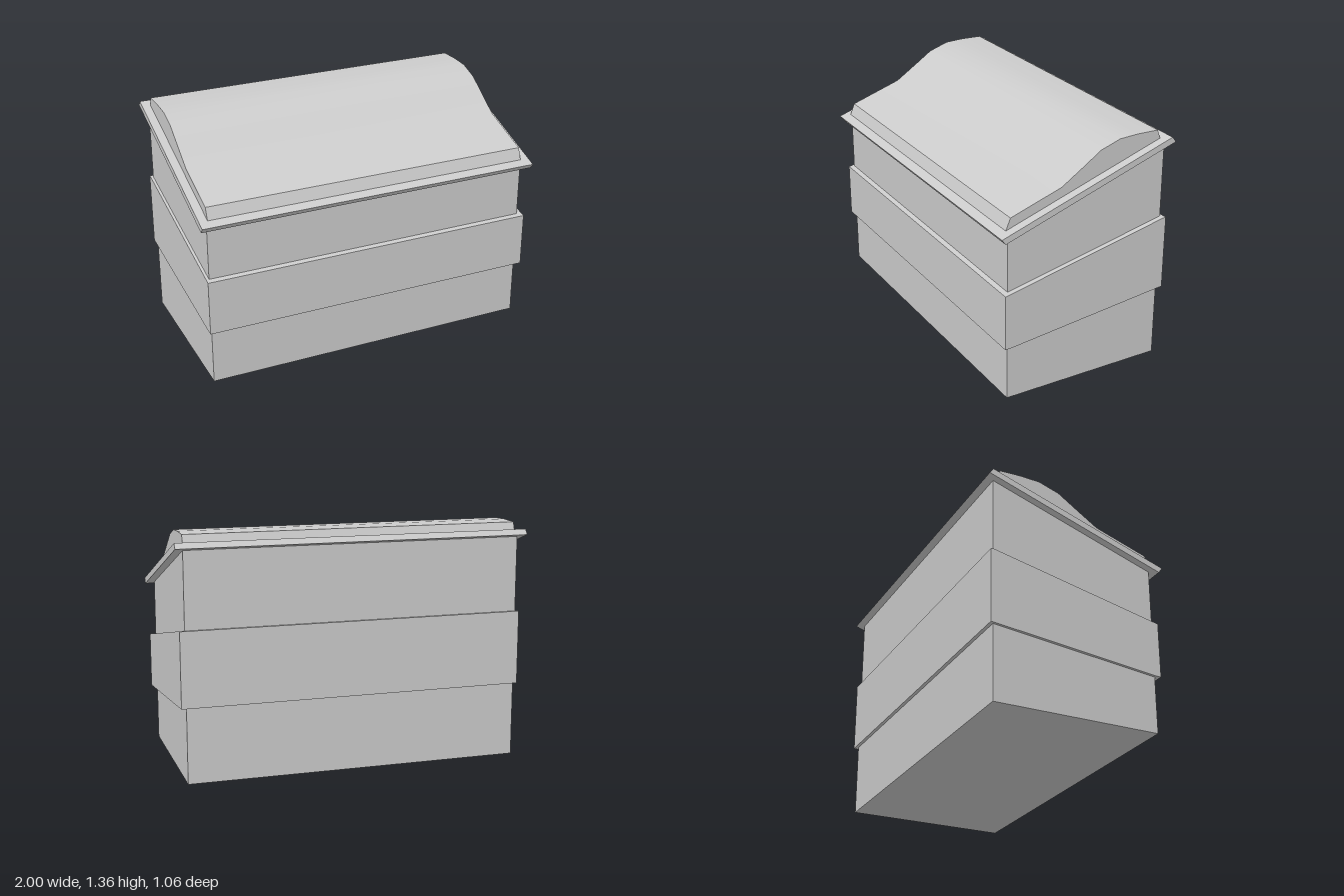
import * as THREE from 'three';
import { toCreasedNormals } from 'three/addons/utils/BufferGeometryUtils.js';

const material = new THREE.MeshStandardMaterial({ color: 0xcccccc });

// Side profile given as [z, y] points, extruded along x from x0 to x1
function slab(name, profile, x0, x1, crease = 0.1) {
  const shape = new THREE.Shape(profile.map(([z, y]) => new THREE.Vector2(-z, y)));
  const geometry = new THREE.ExtrudeGeometry(shape, { depth: x1 - x0, bevelEnabled: false });
  geometry.rotateY(Math.PI / 2).translate(x0, 0, 0);
  const mesh = new THREE.Mesh(toCreasedNormals(geometry, crease), material);
  mesh.name = name;
  return mesh;
}

export function createModel() {
  const group = new THREE.Group();
  group.name = 'slopedBin';

  // Box body with a sloping top hidden under the lid
  group.add(slab('body', [[0.468, 0], [0.468, 0.97], [-0.487, 1.29], [-0.487, 0]], -0.957, 0.953));

  // Wider band around the middle, rising toward the back
  group.add(slab('middleBand', [
    [0.497, 0.322], [0.497, 0.637], [0.468, 0.643], [-0.487, 0.849], [-0.505, 0.85],
    [-0.505, 0.427], [-0.487, 0.425], [0.468, 0.322],
  ], -0.973, 0.983));

  // Thin overhanging lid plate
  group.add(slab('lidPlate', [[0.507, 0.945], [0.529, 0.975], [-0.504, 1.32], [-0.527, 1.29]], -1, 1));

  // Curved cover on the lid
  group.add(slab('lidCover', [
    [0.482, 0.98], [0.45, 1.058], [0.147, 1.159], [0.02, 1.242], [-0.088, 1.314],
    [-0.205, 1.353], [-0.32, 1.358], [-0.443, 1.355], [-0.465, 1.295],
  ], -0.952, 0.948, 0.6));

  return group;
}
